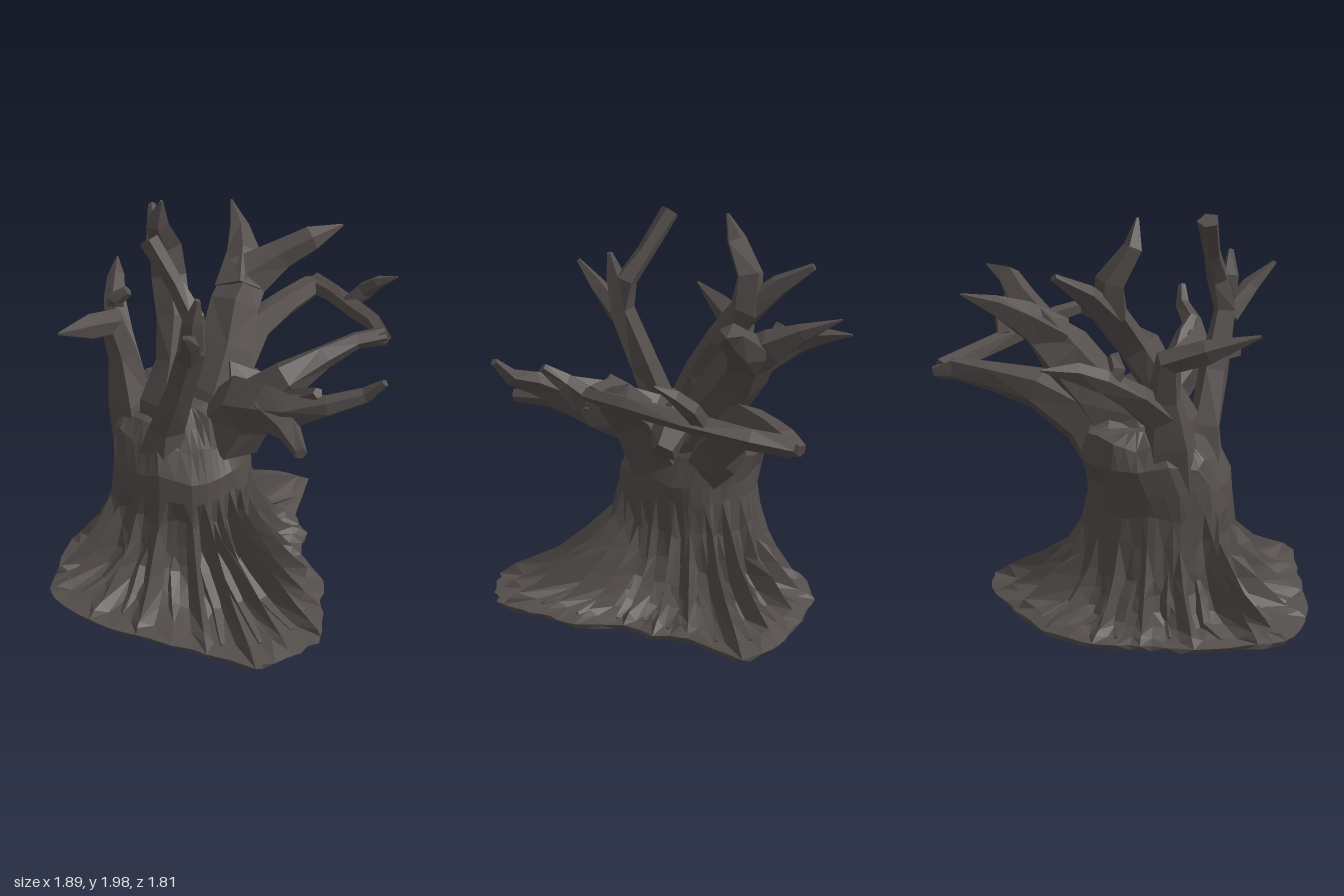
import * as THREE from 'three';

const bark = new THREE.MeshStandardMaterial({ color: 0x544e4c, flatShading: true, side: THREE.DoubleSide });
bark.name = 'dark bark';

let seed = 11;
const rand = () => (seed = (seed * 16807) % 2147483647) / 2147483647;
const jitter = (s) => (rand() - 0.5) * s;

// Skin a stack of closed rings that all have the same number of points
function skin(name, rings) {
  const n = rings[0].length, pos = [], idx = [];
  rings.forEach((ring) => ring.forEach((p) => pos.push(p.x, p.y, p.z)));
  for (let r = 0; r < rings.length - 1; r++) {
    for (let c = 0; c < n; c++) {
      const a = r * n + c, d = r * n + ((c + 1) % n), b = a + n, e = d + n;
      if ((r + c) % 2) idx.push(a, b, d, d, b, e);
      else idx.push(a, b, e, a, e, d);
    }
  }
  let geo = new THREE.BufferGeometry();
  geo.setAttribute('position', new THREE.Float32BufferAttribute(pos, 3));
  geo.setIndex(idx);
  geo = geo.toNonIndexed();
  geo.computeVertexNormals();
  const mesh = new THREE.Mesh(geo, bark);
  mesh.name = name;
  return mesh;
}

// Crooked limb through [x, y, z, radius] points
function limb(name, pts, sides = 5) {
  const P = pts.map((p) => new THREE.Vector3(p[0], p[1], p[2]));
  const u = new THREE.Vector3(0.8, 0.1, 0.6);
  const rings = P.map((p, i) => {
    const t = P[Math.min(i + 1, P.length - 1)].clone().sub(P[Math.max(i - 1, 0)]).normalize();
    u.addScaledVector(t, -u.dot(t)).normalize();
    const v = u.clone().cross(t);
    return Array.from({ length: sides }, (_, k) => {
      const a = (k / sides) * Math.PI * 2, r = pts[i][3] * (1 + jitter(0.35));
      return p.clone().addScaledVector(u, Math.cos(a) * r).addScaledVector(v, Math.sin(a) * r);
    });
  });
  const cap = (p) => Array.from({ length: sides }, () => p.clone());
  return skin(name, [cap(P[0]), ...rings, cap(P[P.length - 1])]);
}

// Footprint of the root skirt, [x, z]
const footprint = [
  [0.46, -0.05], [0.38, 0.12], [0.42, 0.35], [0.35, 0.55], [0.28, 0.78], [0.1, 0.87], [-0.1, 0.9],
  [-0.3, 0.75], [-0.6, 0.52], [-0.8, 0.34], [-0.95, 0.08], [-0.9, -0.06], [-0.75, -0.33], [-0.56, -0.5],
  [-0.4, -0.66], [-0.14, -0.75], [0.15, -0.72], [0.42, -0.66], [0.62, -0.52], [0.45, -0.22],
];
const CX = -0.2, CZ = -0.1;
const skirt = new THREE.CatmullRomCurve3(footprint.map(([x, z]) => new THREE.Vector3(x, 0, z)), true, 'catmullrom', 0.3);

// [height, trunk radius, spread in valleys, spread on ridges, z shift]
const levels = [
  [0.025, 0.33, 0.3, 0.3, -0.04], [0.015, 0.33, 0.97, 0.97, 0], [0.04, 0.33, 1, 1, 0], [0.06, 0.33, 0.75, 0.94, 0],
  [0.09, 0.33, 0.42, 0.85, 0], [0.14, 0.33, 0.2, 0.7, 0], [0.22, 0.33, 0.09, 0.5, 0], [0.32, 0.335, 0.04, 0.28, 0],
  [0.45, 0.335, 0.01, 0.1, 0], [0.6, 0.345, 0, 0.03, 0.01], [0.72, 0.355, 0, 0, 0], [0.85, 0.335, 0, 0, -0.06],
  [0.94, 0.28, 0, 0, -0.08], [0.98, 0.18, 0, 0, -0.08], [0.96, 0, 0, 0, -0.05],
];

// Hollow trunk with broad facets, flaring into ridged roots and a thin ground skirt
function trunk() {
  const N = 80, STEP = 4;
  const cols = Array.from({ length: N }, (_, c) => {
    const p = skirt.getPoint(c / N);
    const ridge = c % STEP === 0 ? 0.8 + rand() * 0.3 : c % STEP === 2 ? rand() * 0.12 : 0.08 + rand() * 0.26;
    return { a: Math.atan2(p.z - CZ, p.x - CX), R: Math.hypot(p.x - CX, p.z - CZ), ridge, lump: 1 + jitter(0.06) };
  });
  const rings = levels.map(([y, r0, valley, ridge, dz], i) => {
    const ring = cols.map(({ a, R, ridge: s, lump }) => {
      const f = valley + (ridge - valley) * s;
      const t0 = r0 * (i > 2 ? lump + jitter(0.05) : 1);
      const r = i === 0 ? R * (0.48 + jitter(0.16)) : t0 + Math.max(0, R * (i < 3 ? 1 + jitter(0.03) : 1) - t0) * Math.min(f, 1);
      const dy = i > 2 && i < 14 ? jitter(i < 7 ? 0.025 : 0.06) : 0;
      return new THREE.Vector3(CX + Math.cos(a) * r, y + dy, CZ + dz + Math.sin(a) * r);
    });
    // straighten the columns between corners on the upper trunk
    if (i > 8) {
      ring.forEach((p, c) => {
        const k = c % STEP;
        if (k) p.lerpVectors(ring[c - k], ring[(c - k + STEP) % N], k / STEP);
      });
    }
    return ring;
  });
  return skin('trunkAndRoots', rings);
}

const limbs = {
  // front stem with three tips
  frontStem: [[-0.33, 0.72, 0.04, 0.13], [-0.32, 0.95, 0.09, 0.09], [-0.28, 1.2, 0.18, 0.07], [-0.24, 1.48, 0.28, 0.065], [-0.23, 1.64, 0.25, 0.055], [-0.28, 1.77, 0.16, 0.045], [-0.375, 1.96, 0.05, 0.05]],
  frontStemSpur: [[-0.25, 1.46, 0.29, 0.06], [-0.28, 1.59, 0.41, 0.045], [-0.33, 1.7, 0.52, 0.01]],
  frontStemFork: [[-0.24, 1.48, 0.28, 0.06], [-0.24, 1.65, 0.31, 0.045], [-0.22, 1.77, 0.33, 0.015]],
  // tall rear stem
  rearStem: [[-0.3, 0.75, -0.08, 0.15], [-0.29, 1, -0.08, 0.12], [-0.24, 1.18, -0.14, 0.09], [-0.19, 1.36, -0.25, 0.08], [-0.18, 1.53, -0.37, 0.085], [-0.2, 1.7, -0.38, 0.07], [-0.26, 1.86, -0.3, 0.055], [-0.24, 1.99, -0.26, 0.008]],
  rearStemFork: [[-0.18, 1.5, -0.36, 0.075], [-0.2, 1.66, -0.53, 0.06], [-0.19, 1.76, -0.7, 0.02]],
  // right-hand pair of limbs
  sideLimb: [[-0.4, 0.7, -0.18, 0.15], [-0.42, 0.95, -0.21, 0.12], [-0.45, 1.18, -0.26, 0.085], [-0.5, 1.36, -0.28, 0.07], [-0.64, 1.42, -0.17, 0.06], [-0.81, 1.5, 0, 0.008]],
  sideLimbFork: [[-0.43, 1.05, -0.24, 0.1], [-0.43, 1.2, -0.42, 0.075], [-0.42, 1.31, -0.6, 0.06], [-0.38, 1.36, -0.72, 0.045], [-0.34, 1.39, -0.88, 0.006]],
  sideSpur: [[-0.42, 1.28, -0.55, 0.05], [-0.43, 1.35, -0.52, 0.04], [-0.37, 1.4, -0.5, 0.03]],
  // large left rear limb
  backLimb: [[-0.08, 0.72, -0.19, 0.2], [0, 0.95, -0.2, 0.18], [0.08, 1.13, -0.28, 0.155], [0.15, 1.3, -0.4, 0.14], [0.24, 1.41, -0.47, 0.115], [0.42, 1.52, -0.46, 0.08], [0.57, 1.6, -0.43, 0.055], [0.74, 1.64, -0.45, 0.006]],
  backLimbFork: [[0.19, 1.36, -0.42, 0.12], [0.25, 1.48, -0.58, 0.085], [0.28, 1.56, -0.72, 0.05], [0.28, 1.63, -0.9, 0.005]],
  // looping left limb
  loopLowerArm: [[-0.05, 0.72, -0.19, 0.18], [0.1, 0.96, -0.31, 0.14], [0.28, 1.1, -0.48, 0.095], [0.5, 1.14, -0.61, 0.07], [0.67, 1.16, -0.7, 0.06], [0.73, 1.14, -0.79, 0.03]],
  loopBar: [[0.7, 1.15, -0.75, 0.06], [0.74, 1.19, -0.56, 0.055], [0.76, 1.25, -0.25, 0.05], [0.77, 1.31, 0, 0.045], [0.75, 1.34, 0.19, 0.035]],
  loopUpperArm: [[0, 0.82, 0.03, 0.17], [0.1, 1.06, 0.13, 0.13], [0.25, 1.2, 0.2, 0.09], [0.45, 1.27, 0.16, 0.06], [0.62, 1.32, 0.15, 0.045], [0.76, 1.34, 0.16, 0.045]],
  loopTwig: [[0.76, 1.25, -0.34, 0.045], [0.82, 1.33, -0.31, 0.045], [0.87, 1.4, -0.24, 0.035], [0.94, 1.46, -0.17, 0.006]],
  // left front limb with stubs
  frontLimb: [[-0.05, 0.78, -0.04, 0.17], [0.07, 1.01, 0.11, 0.14], [0.14, 1.1, 0.3, 0.11], [0.21, 1.17, 0.46, 0.085], [0.34, 1.26, 0.57, 0.055], [0.5, 1.32, 0.63, 0.04], [0.57, 1.41, 0.68, 0.02]],
  frontLimbStub: [[0.14, 1.1, 0.33, 0.1], [0.16, 1.13, 0.54, 0.065], [0.16, 1.12, 0.72, 0.03]],
  frontLimbSpur: [[0.2, 1.14, 0.36, 0.08], [0.26, 1.23, 0.44, 0.055], [0.3, 1.31, 0.53, 0.025]],
  brokenStub: [[0.05, 1, -0.1, 0.14], [0.18, 1, -0.08, 0.1], [0.28, 0.92, -0.06, 0.06]],
};

export function createModel() {
  const tree = new THREE.Group();
  tree.name = 'deadTree';
  tree.add(trunk());
  for (const [name, pts] of Object.entries(limbs)) tree.add(limb(name, pts));

  // small gnarled rootlets lying in the hollows between the main roots
  const rootlets = new THREE.Group();
  rootlets.name = 'rootlets';
  for (let i = 0; i < 20; i++) {
    const p = skirt.getPoint((i + 0.5 + jitter(0.2)) / 20);
    const inner = 0.31 / Math.hypot(p.x - CX, p.z - CZ);
    const at = (q, y, r) => {
      const k = inner + (1 - inner) * q;
      return [CX + (p.x - CX) * k + jitter(0.05), y, CZ + (p.z - CZ) * k + jitter(0.05), r];
    };
    rootlets.add(limb('rootlet' + (i + 1), [at(0, 0.32, 0.03), at(0.2, 0.19, 0.04), at(0.45, 0.09, 0.035), at(0.8, 0.05, 0.015)], 4));
  }
  tree.add(rootlets);
  return tree;
}
